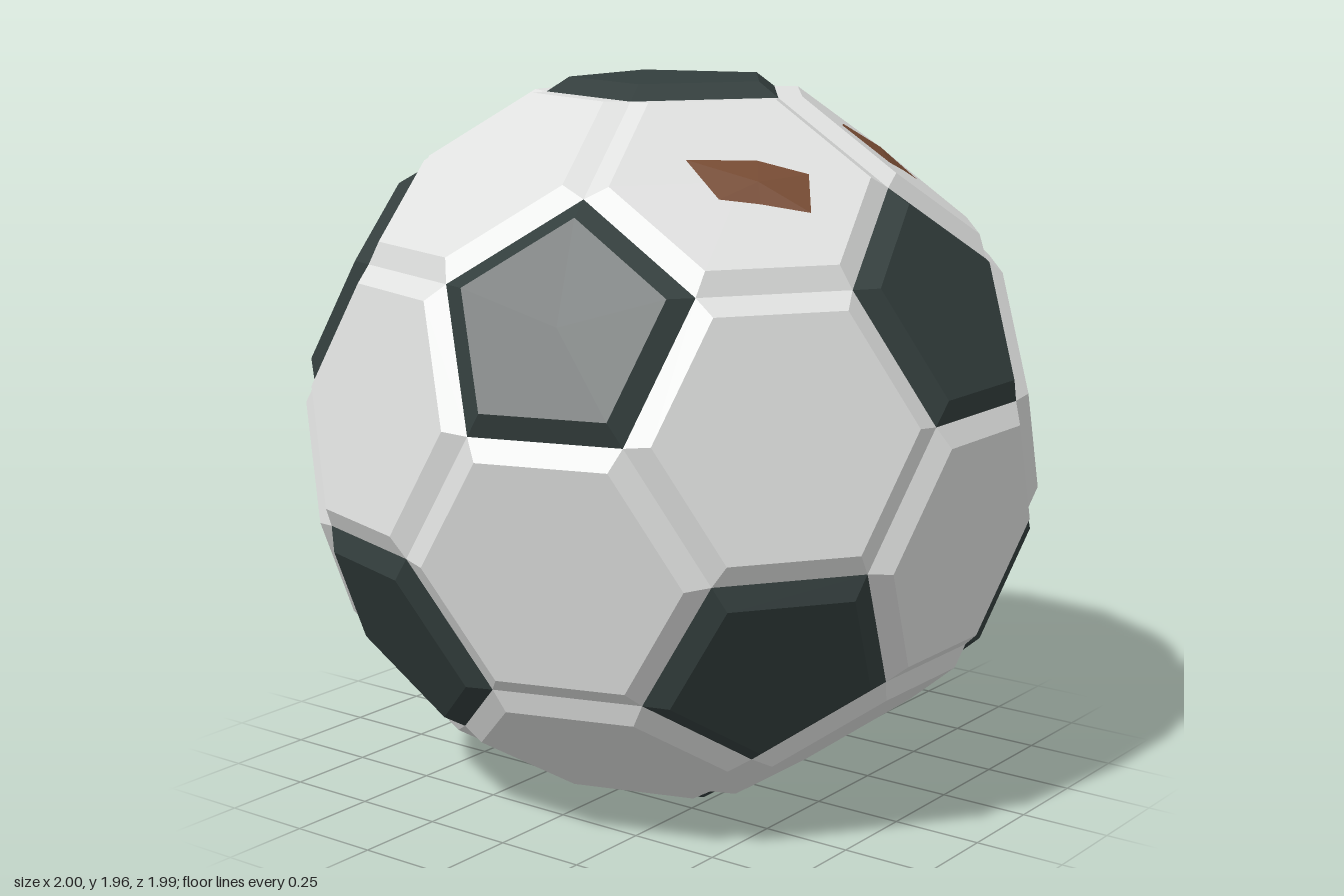
import * as THREE from 'three';

const INSET = 0.05, LIFT = 0.04, CENTRE_Y = 0.98;

const mat = (name, color, side = THREE.FrontSide) => {
  const m = new THREE.MeshStandardMaterial({ color, side });
  m.name = name;
  return m;
};

// Unit direction from azimuth (0 = front, towards +x) and height
const direction = (degrees, y) => {
  const a = THREE.MathUtils.degToRad(degrees), r = Math.sqrt(1 - y * y);
  return new THREE.Vector3(r * Math.sin(a), y, r * Math.cos(a));
};

const average = (points) =>
  points.reduce((s, p) => s.add(p), new THREE.Vector3()).divideScalar(points.length);

// Points sorted counter-clockwise about the outward normal
function sortAround(points, normal) {
  const c = average(points);
  const u = points[0].clone().sub(c).normalize();
  const v = normal.clone().cross(u);
  const angle = (p) => {
    const d = p.clone().sub(c);
    return Math.atan2(d.dot(v), d.dot(u));
  };
  return [...points].sort((a, b) => angle(a) - angle(b));
}

// Unindexed triangles give crisp flat faces
function facetMesh(name, triangles, material) {
  const geometry = new THREE.BufferGeometry().setFromPoints(triangles);
  geometry.computeVertexNormals();
  const mesh = new THREE.Mesh(geometry, material);
  mesh.name = name;
  return mesh;
}

// Raised plate: bevelled border up to a smaller flat face
function panel(name, points, material) {
  const normal = average(points).normalize();
  const outer = sortAround(points, normal);
  const c = average(outer);
  const apothem = outer[0].clone().add(outer[1]).multiplyScalar(0.5).distanceTo(c);
  const inner = outer.map((p) =>
    p.clone().sub(c).multiplyScalar(1 - INSET / apothem).add(c).addScaledVector(normal, LIFT));
  const top = average(inner), tris = [];
  outer.forEach((p, i) => {
    const j = (i + 1) % outer.length;
    tris.push(p, outer[j], inner[j], p, inner[j], inner[i], inner[i], inner[j], top);
  });
  return facetMesh(name, tris, material);
}

// Thin patch on a panel; the outline gives two coordinates, the third lies on the panel plane
function stain(name, normal, distance, axes, outline, rise, material) {
  const missing = ['x', 'y', 'z'].find((k) => !axes.includes(k));
  const rim = outline.map(([a, b]) => {
    const p = new THREE.Vector3();
    p[axes[0]] = a;
    p[axes[1]] = b;
    p[missing] = (distance + 0.003 - p.dot(normal)) / normal[missing];
    return p;
  });
  const peak = average(rim).addScaledVector(normal, rise);
  const tris = [];
  rim.forEach((p, i) => {
    const q = rim[(i + 1) % rim.length];
    const out = q.clone().sub(p).cross(peak.clone().sub(p)).dot(normal) > 0;
    tris.push(...(out ? [p, q, peak] : [q, p, peak]));
  });
  return facetMesh(name, tris, material);
}

export function createModel() {
  const white = mat('panel white', 0xdfe0df);
  const dark = mat('panel dark', 0x333e3d);
  const mud = mat('mud brown', 0x774c34, THREE.DoubleSide);
  const grass = mat('grass green', 0x587a3a, THREE.DoubleSide);

  const model = new THREE.Group();
  model.name = 'ball';
  const ball = new THREE.Group();
  ball.name = 'panels';
  ball.position.y = CENTRE_Y;
  model.add(ball);

  // Pentagon centres: two poles and two staggered rings
  const s = 1 / Math.sqrt(5);
  const hubs = [direction(0, 1), direction(0, -1)];
  for (let i = 0; i < 5; i++) hubs.push(direction(72 * i, s), direction(72 * i + 36, -s));
  const near = (a, b) => a !== b && a.dot(b) > 0.3;
  const corner = (a, b) => a.clone().multiplyScalar(2).add(b).normalize();

  // Dark pentagons
  for (const a of hubs) {
    ball.add(panel('pentagonPanel', hubs.filter((b) => near(a, b)).map((b) => corner(a, b)), dark));
  }

  // White hexagons between every three neighbouring pentagons
  for (let i = 0; i < 12; i++) for (let j = i + 1; j < 12; j++) for (let k = j + 1; k < 12; k++) {
    const [a, b, c] = [hubs[i], hubs[j], hubs[k]];
    if (!near(a, b) || !near(b, c) || !near(a, c)) continue;
    ball.add(panel('hexagonPanel',
      [corner(a, b), corner(b, a), corner(b, c), corner(c, b), corner(c, a), corner(a, c)], white));
  }

  // Mud and grass patches
  const hexDist = 0.9149 + LIFT, pentDist = 0.9393 + LIFT;
  const upperHex = Math.cos(THREE.MathUtils.degToRad(37.377));
  const middleHex = Math.sin(THREE.MathUtils.degToRad(10.812));
  ball.add(
    stain('mudUpperLeft', direction(36, upperHex), hexDist, ['x', 'z'],
      [[0.155, 0.444], [0.25, 0.385], [0.31, 0.4], [0.47, 0.39], [0.45, 0.5], [0.35, 0.515], [0.21, 0.56]],
      0.012, mud),
    stain('mudUpperRight', direction(-36, upperHex), hexDist, ['x', 'z'],
      [[-0.406, 0.342], [-0.433, 0.465], [-0.36, 0.54], [-0.278, 0.636], [-0.187, 0.567], [-0.26, 0.46]],
      0.012, mud),
    stain('mudSide', direction(72, s), pentDist, ['z', 'y'],
      [[0.396, 0.39], [0.36, 0.42], [0.2, 0.5], [0.12, 0.465], [0.21, 0.4], [0.31, 0.335], [0.396, 0.314]],
      0.014, mud),
    stain('grassStain', direction(36, middleHex), hexDist, ['x', 'y'],
      [[0.342, 0.196], [0.428, 0.26], [0.5, 0.282], [0.572, 0.255], [0.68, 0.186], [0.61, 0.116],
        [0.49, 0.1], [0.417, 0.09], [0.348, 0.154]],
      0, grass),
  );
  return model;
}
